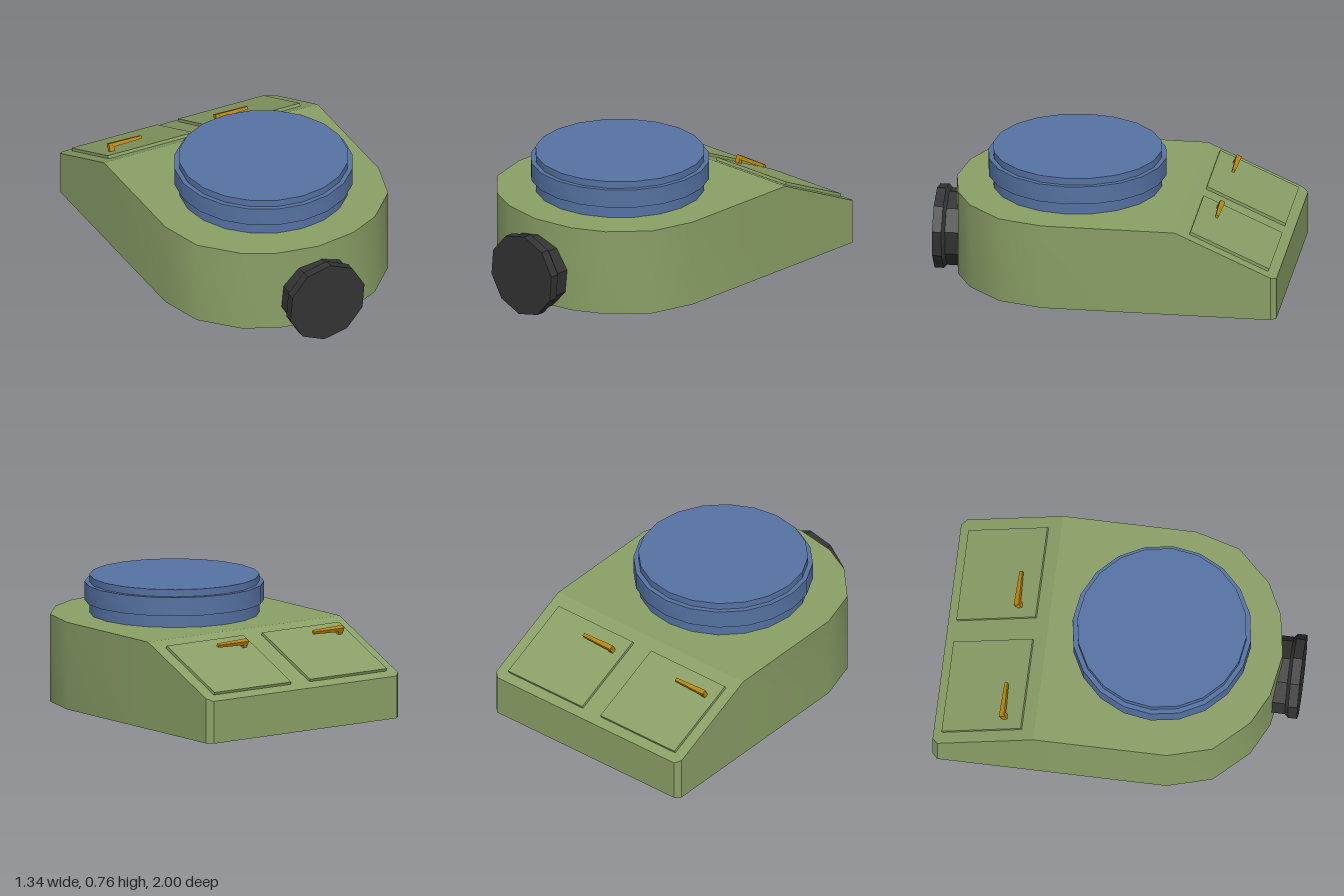
import * as THREE from 'three';
import { toCreasedNormals } from 'three/addons/utils/BufferGeometryUtils.js';

const BASE = 0.055, ROOF = 0.55, BREAK = -0.43, SLOPE = 0.255 / 0.57;
const topY = (z) => (z < BREAK ? ROOF + (z - BREAK) * SLOPE : ROOF);
const V = (x, y) => new THREE.Vector2(x, y);

const paint = (color) => new THREE.MeshStandardMaterial({ color, side: THREE.DoubleSide });
const green = paint(0x8a9f66);
const blue = paint(0x5572a2);
const black = paint(0x333333);
const gold = paint(0xb8860b);

function part(name, geometry, material) {
  const mesh = new THREE.Mesh(geometry, material);
  mesh.name = name;
  return mesh;
}

// Plan of the hull as [x, z], left half from rear to nose, then mirrored
function hullOutline() {
  const half = [[0.64, -1], [0.67, -0.97], [0.67, BREAK], [0.67, 0.32],
    [0.6, 0.57], [0.42, 0.76], [0.24, 0.85]];
  return [...half, [0, 0.89], ...half.map(([x, z]) => [-x, z]).reverse()];
}

// Side walls, open underneath, following the roof height
function wallGeometry(outline) {
  const pos = [], index = [], n = outline.length;
  outline.forEach(([x, z], i) => {
    pos.push(x, BASE, z, x, topY(z), z);
    const a = 2 * i, b = 2 * ((i + 1) % n);
    index.push(a, a + 1, b + 1, a, b + 1, b);
  });
  const g = new THREE.BufferGeometry();
  g.setAttribute('position', new THREE.Float32BufferAttribute(pos, 3));
  g.setIndex(index);
  return toCreasedNormals(g, 0.6);
}

// Flat sheet cut from the plan, draped on the roof line
function deckGeometry(points) {
  const g = new THREE.ShapeGeometry(new THREE.Shape(points.map(([x, z]) => V(x, -z))));
  g.rotateX(-Math.PI / 2);
  const p = g.attributes.position;
  for (let i = 0; i < p.count; i++) p.setY(i, topY(p.getZ(i)));
  g.computeVertexNormals();
  return g;
}

function createHull() {
  const hull = new THREE.Group();
  hull.name = 'hull';
  const outline = hullOutline();
  hull.add(
    part('hullWalls', wallGeometry(outline), green),
    part('roof', deckGeometry(outline.filter(([, z]) => z >= BREAK)), green),
    part('rearSlope', deckGeometry(outline.filter(([, z]) => z <= BREAK)), green),
  );
  return hull;
}

// Round turret drum with a raised band, open below the roof
function createTurret() {
  const profile = [V(0.475, 0.43), V(0.475, 0.62), V(0.502, 0.62), V(0.502, 0.725),
    V(0.475, 0.725), V(0.475, 0.765), V(0, 0.765)];
  const turret = part('turretDrum', toCreasedNormals(new THREE.LatheGeometry(profile, 20), 0.5), blue);
  turret.position.set(0.003, 0, 0.21);
  return turret;
}

// Ten-sided cap on the nose, open on the inside
function createNoseCap() {
  const profile = [V(0.219, 0.825), V(0.219, 0.93), V(0.238, 0.948), V(0.238, 1), V(0, 1)];
  const g = new THREE.LatheGeometry(profile, 10, -0.085);
  g.rotateX(Math.PI / 2);
  const cap = part('noseCap', toCreasedNormals(g, 0.5), black);
  cap.position.y = 0.24;
  return cap;
}

// Hatch plate with a tapered lever handle, lying on the rear slope
function createHatch(x) {
  const hatch = new THREE.Group();
  hatch.name = 'hatch';
  hatch.position.set(x, topY(-0.725), -0.725);
  hatch.rotation.x = -Math.atan(SLOPE);

  const plate = part('hatchPlate', new THREE.BoxGeometry(0.536, 0.03, 0.487), green);
  plate.position.y = 0.002;

  const post = part('handlePost', new THREE.BoxGeometry(0.028, 0.04, 0.026), gold);
  post.position.set(-0.196, 0.03, 0.14);

  const bar = new THREE.BoxGeometry(0.205, 0.024, 0.03);
  const p = bar.attributes.position;
  for (let i = 0; i < p.count; i++) {
    if (p.getX(i) > 0) p.setXYZ(i, p.getX(i), p.getY(i) * 0.7, p.getZ(i) * 0.6);
  }
  bar.computeVertexNormals();
  const lever = part('handleLever', bar, gold);
  lever.position.set(-0.107, 0.05, 0.137);

  hatch.add(plate, post, lever);
  return hatch;
}

export function createModel() {
  const model = new THREE.Group();
  model.name = 'turretedHull';
  model.add(createHull(), createTurret(), createNoseCap());
  for (const x of [-0.337, 0.331]) model.add(createHatch(x));
  return model;
}
